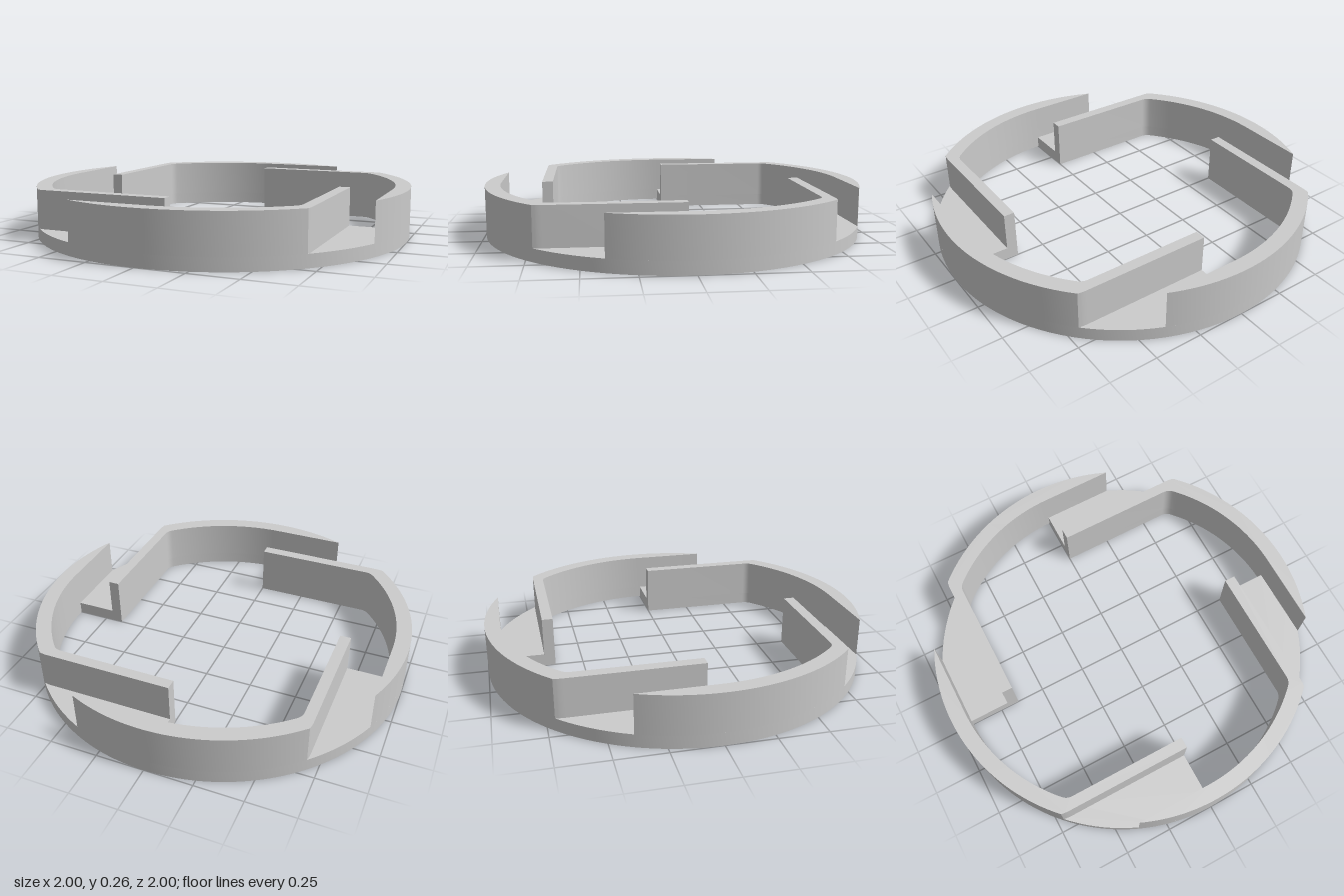
import * as THREE from 'three';
import { toCreasedNormals } from 'three/addons/utils/BufferGeometryUtils.js';

const R = 1, INNER = 0.92;          // ring radii
const NEAR = 0.648, FAR = 0.705;    // inner and outer faces of the straight walls
const FLOOR = 0.065, TOP = 0.265;   // pocket floor and rim heights
const rad = THREE.MathUtils.degToRad;

const polar = (r, deg) => new THREE.Vector2(r * Math.cos(rad(deg)), r * Math.sin(rad(deg)));

// Points along a circle between two angles in degrees
function arc(r, from, to) {
  const n = Math.ceil(Math.abs(to - from) / 2);
  return Array.from({ length: n + 1 }, (_, i) => polar(r, from + (to - from) * i / n));
}

// Small rounded corner from a to b, pulled towards c
const fillet = (a, c, b) => new THREE.QuadraticBezierCurve(a, c, b).getPoints(6);

// Plan outline (x, z) extruded between two heights
function slab(shape, bottom, top) {
  const geo = new THREE.ExtrudeGeometry(shape, { depth: top - bottom, bevelEnabled: false });
  geo.rotateX(Math.PI / 2).translate(0, top, 0);
  return toCreasedNormals(geo, 0.5);
}

export function createModel() {
  const group = new THREE.Group();
  const material = new THREE.MeshStandardMaterial({ color: 0xcccccc });
  const add = (geo, name) => {
    const mesh = new THREE.Mesh(geo, material);
    mesh.name = name;
    group.add(mesh);
    return mesh;
  };

  // Inner edge of one quarter: straight wall, rounded corner, then ring arc
  const corner = new THREE.Vector2(NEAR, Math.sqrt(INNER ** 2 - NEAR ** 2));
  const innerEdge = [
    new THREE.Vector2(NEAR, 0),
    ...fillet(new THREE.Vector2(NEAR, 0.625), corner, polar(INNER, 47)),
    ...arc(INNER, 47, 90).slice(1),
  ];

  // Base ring with the pocket floors, its opening made of four turned quarters
  const base = new THREE.Shape(arc(R, 0, 358));
  const origin = new THREE.Vector2();
  const opening = [];
  for (let i = 0; i < 4; i++) {
    opening.push(...innerEdge.map((p) => p.clone().rotateAround(origin, i * Math.PI / 2)));
  }
  base.holes.push(new THREE.Path(opening));
  add(slab(base, 0, FLOOR), 'baseRing');

  // Upper wall: straight arm, ring arc, and tapered tip beside the next pocket
  const tipAngle = 180 - THREE.MathUtils.radToDeg(Math.asin(INNER / R));
  const wall = new THREE.Shape([
    new THREE.Vector2(FAR, 0),
    ...fillet(new THREE.Vector2(FAR, 0.665), new THREE.Vector2(FAR, 0.695), polar(R, 45.6)),
    ...arc(R, 46, tipAngle),
    ...innerEdge.slice().reverse(),
  ]);
  const wallGeo = slab(wall, FLOOR, TOP);
  for (let i = 0; i < 4; i++) {
    add(wallGeo, `upperWall${i + 1}`).rotation.y = i * Math.PI / 2;
  }
  return group;
}
